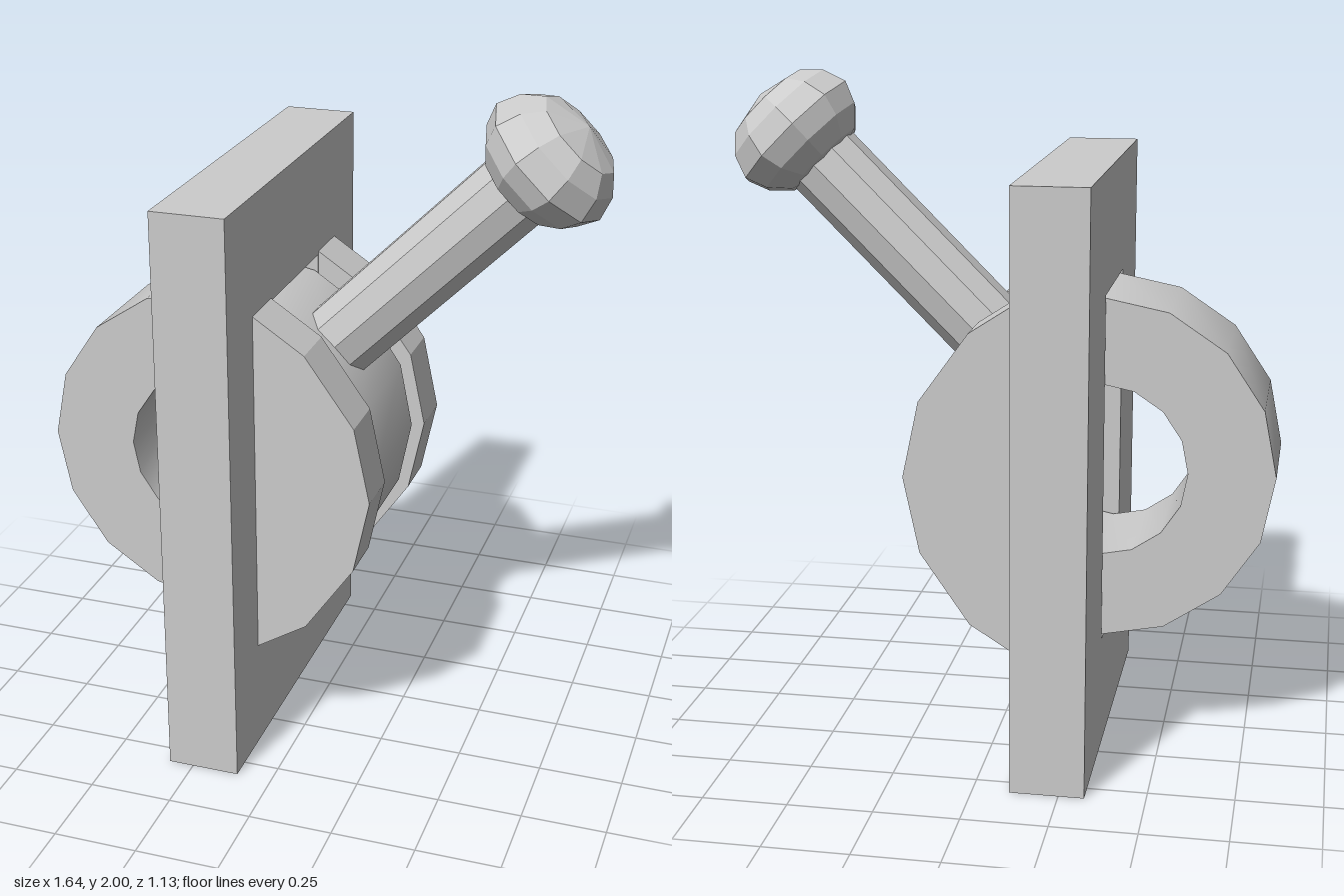
import * as THREE from 'three';
import { toCreasedNormals } from 'three/addons/utils/BufferGeometryUtils.js';

const HUB_X = -0.31, HUB_Y = 0.87;

export function createModel() {
  const group = new THREE.Group();
  const smooth = new THREE.MeshStandardMaterial({ color: 0xcccccc });
  const flat = new THREE.MeshStandardMaterial({ color: 0xcccccc, flatShading: true });

  const add = (name, geometry, material, parent = group) => {
    const mesh = new THREE.Mesh(geometry, material);
    mesh.name = name;
    parent.add(mesh);
    return mesh;
  };
  const points = (list) => list.map(([x, y]) => new THREE.Vector2(x, y));
  const rect = (x0, y0, x1, y1) => points([[x0, y0], [x1, y0], [x1, y1], [x0, y1]]);
  const ngon = (radius, sides) => Array.from({ length: sides }, (_, i) => {
    const a = (i / sides) * Math.PI * 2;
    return new THREE.Vector2(radius * Math.cos(a), radius * Math.sin(a));
  });
  const extrude = (outline, depth, hole) => {
    const shape = new THREE.Shape(outline);
    if (hole) shape.holes.push(new THREE.Path(hole));
    return new THREE.ExtrudeGeometry(shape, { depth, bevelEnabled: false });
  };

  // Upright plate with a slot for the wheel
  const plate = extrude(rect(-0.565, 0, 0.565, 1.75), 0.218, rect(-0.209, 0.345, 0.209, 1.393));
  plate.rotateY(Math.PI / 2);
  add('plate', plate, flat).position.x = -0.325;

  // Ring-shaped wheel running through the slot
  const wheel = toCreasedNormals(extrude(ngon(0.515, 16), 0.39, ngon(0.26, 16)), 0.6);
  add('wheel', wheel, smooth).position.set(HUB_X, HUB_Y, -0.197);

  // Curved cheeks either side of the wheel
  const cheekOutline = points([
    [-0.107, 0.335], [0.045, 0.43], [0.192, 0.643], [0.24, 0.87],
    [0.192, 1.097], [0.045, 1.302], [-0.107, 1.402],
  ]);
  for (const [name, z] of [['frontCheek', 0.213], ['backCheek', -0.37]]) {
    add(name, extrude(cheekOutline, 0.155), flat).position.z = z;
  }

  // Lever leaning out of the wheel at 45 degrees
  const lever = new THREE.Group();
  lever.name = 'lever';
  lever.position.set(HUB_X, HUB_Y, 0);
  lever.rotation.z = -Math.PI / 4;
  group.add(lever);

  const shaft = new THREE.CylinderGeometry(0.119, 0.119, 0.9, 10);
  add('leverShaft', shaft, flat, lever).position.y = 0.85;

  // Slightly flattened knob
  const knob = new THREE.LatheGeometry(points([
    [0, -0.155], [0.135, -0.115], [0.19, -0.062], [0.216, 0],
    [0.191, 0.07], [0.14, 0.12], [0, 0.155],
  ]), 10);
  knob.rotateY(Math.PI / 2);
  add('leverKnob', knob, flat, lever).position.y = 1.337;

  return group;
}
